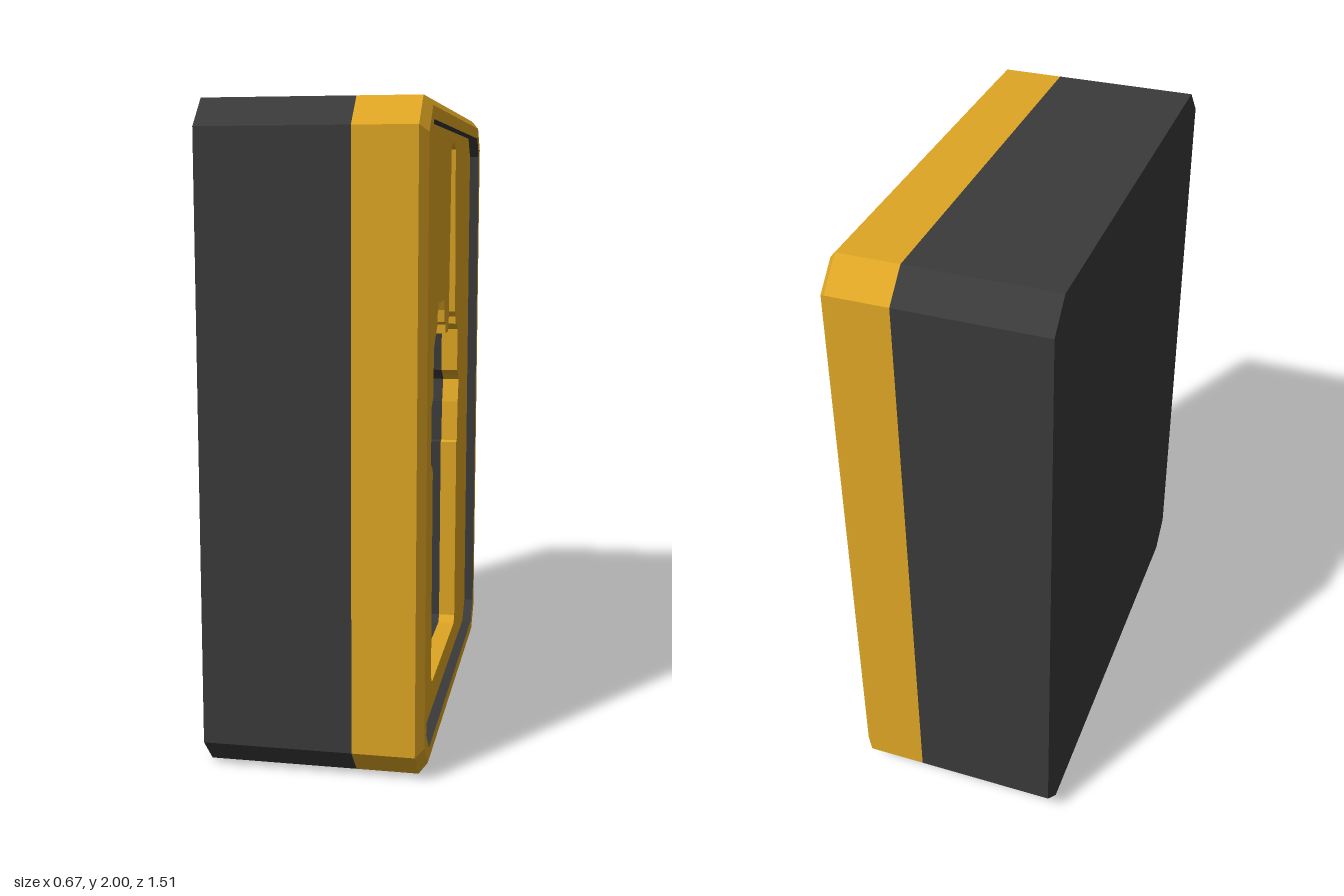
import * as THREE from 'three';

const yellow = new THREE.MeshStandardMaterial({ color: 0xdfa624, flatShading: true });
yellow.name = 'yellow foam';
const dark = new THREE.MeshStandardMaterial({ color: 0x3a3a3a, flatShading: true });
dark.name = 'dark grey foam';

// Rings are lists of [a, y], counterclockwise seen from +x, where a = -z.
// Eight-sided outline of the block, inset by i.
function blockRing(i) {
  const w = 0.757 - i, t = 2 - i, c = 0.085 - 0.3 * i;
  return [[-w + c, i], [w - c, i], [w, i + c], [w, t - c], [w - c, t], [-w + c, t], [-w, t - c], [-w, i + c]];
}

// Joins successive [ring, x] sections with flat quads.
function loft(sections) {
  const pos = [];
  for (let s = 0; s < sections.length - 1; s++) {
    const [r0, x0] = sections[s], [r1, x1] = sections[s + 1];
    r0.forEach((p, i) => {
      const j = (i + 1) % r0.length;
      const A = [x0, p[1], -p[0]], B = [x0, r0[j][1], -r0[j][0]];
      const C = [x1, r1[j][1], -r1[j][0]], D = [x1, r1[i][1], -r1[i][0]];
      pos.push(...A, ...B, ...C, ...A, ...C, ...D);
    });
  }
  const g = new THREE.BufferGeometry();
  g.setAttribute('position', new THREE.Float32BufferAttribute(pos, 3));
  g.computeVertexNormals();
  return g;
}

const toPoints = ring => ring.map(p => new THREE.Vector2(p[0], p[1]));

// Flat sheet across a ring, facing +x or -x.
function sheet(ring, x, hole, facing = 1) {
  const shape = new THREE.Shape(toPoints(ring));
  if (hole) shape.holes.push(new THREE.Path(toPoints(hole)));
  return new THREE.ShapeGeometry(shape).rotateY(facing * Math.PI / 2).translate(x, 0, 0);
}

// Points are given as z, y going clockwise seen from +x.
const fromZY = list => list.map(([z, y]) => [-z, y]).reverse();

// Handheld radio outline at the mouth of the pocket
const mouth = fromZY([
  [.31, .155], [.335, .18], [.335, .86], [.355, .88], [.38, .89], [.38, 1.07], [.36, 1.085], [.335, 1.1],
  [.335, 1.25], [.30, 1.28], [.25, 1.32], [.25, 1.35], [.225, 1.385], [.08, 1.385], [.063, 1.35], [.06, 1.31],
  [.04, 1.30], [.04, 1.27], [-.035, 1.27], [-.05, 1.3], [-.055, 1.32], [-.085, 1.86], [-.09, 1.88], [-.15, 1.905],
  [-.21, 1.88], [-.245, 1.32], [-.26, 1.30], [-.26, 1.275], [-.30, 1.275], [-.33, 1.25], [-.33, 1.10],
  [-.365, 1.08], [-.385, 1.06], [-.36, .98], [-.345, .84], [-.33, .835], [-.33, .18], [-.31, .155],
]);
// Same outline drawn in, at the pocket floor
const floor = fromZY([
  [.295, .2], [.305, .21], [.305, .86], [.33, .89], [.345, .9], [.345, 1.05], [.33, 1.06], [.305, 1.08],
  [.305, 1.24], [.28, 1.26], [.225, 1.30], [.222, 1.325], [.21, 1.335], [.08, 1.335], [.065, 1.32], [.05, 1.28],
  [.035, 1.26], [.03, 1.235], [-.045, 1.235], [-.057, 1.26], [-.059, 1.3], [-.087, 1.83], [-.092, 1.84], [-.15, 1.855],
  [-.208, 1.84], [-.24, 1.3], [-.25, 1.26], [-.252, 1.245], [-.285, 1.245], [-.30, 1.22], [-.30, 1.08],
  [-.335, 1.06], [-.36, 1.045], [-.34, .98], [-.325, .86], [-.305, .83], [-.305, .21], [-.295, .2],
]);

export function createModel() {
  const model = new THREE.Group();
  const add = (name, geometry, material) => {
    const mesh = new THREE.Mesh(geometry, material);
    mesh.name = name;
    model.add(mesh);
  };

  const outer = blockRing(0), lip = blockRing(0.028), recess = blockRing(0.065);
  const SPLIT = 0.12, LIP = 0.335, FACE = 0.302, FLOOR = 0.14;

  // Dark rear block
  add('rearBlock', loft([[outer, -0.335], [outer, SPLIT]]), dark);
  add('backFace', sheet(outer, -0.335, null, -1), dark);

  // Yellow front block with bevelled lip
  add('frontBlock', loft([[outer, SPLIT], [outer, 0.31], [lip, LIP], [recess, LIP]]), yellow);
  add('recessWall', loft([[recess, LIP], [recess, FACE]]), dark);
  add('frontPanel', sheet(recess, FACE, mouth), yellow);

  // Radio-shaped pocket: yellow upper wall, dark lower wall, sloped foot and floor
  add('pocketUpperWall', loft([[mouth, FACE], [mouth, 0.245]]), yellow);
  add('pocketLowerWall', loft([[mouth, 0.245], [mouth, 0.18], [floor, FLOOR]]), dark);
  add('pocketFloor', sheet(floor, FLOOR), dark);

  // Tapered ridge across the pocket floor
  const ridgeRing = (end, inset) => [
    [-end, .857 + inset], [-.11, .842 + inset], [.11, .842 + inset], [end, .857 + inset],
    [end, .89 - inset], [.11, .905 - inset], [-.11, .905 - inset], [-end, .89 - inset],
  ];
  const ridgeTop = ridgeRing(0.115, 0.006);
  add('floorRidge', loft([[ridgeRing(0.21, 0), FLOOR], [ridgeTop, 0.2]]), dark);
  add('floorRidgeTop', sheet(ridgeTop, 0.2), dark);

  return model;
}
